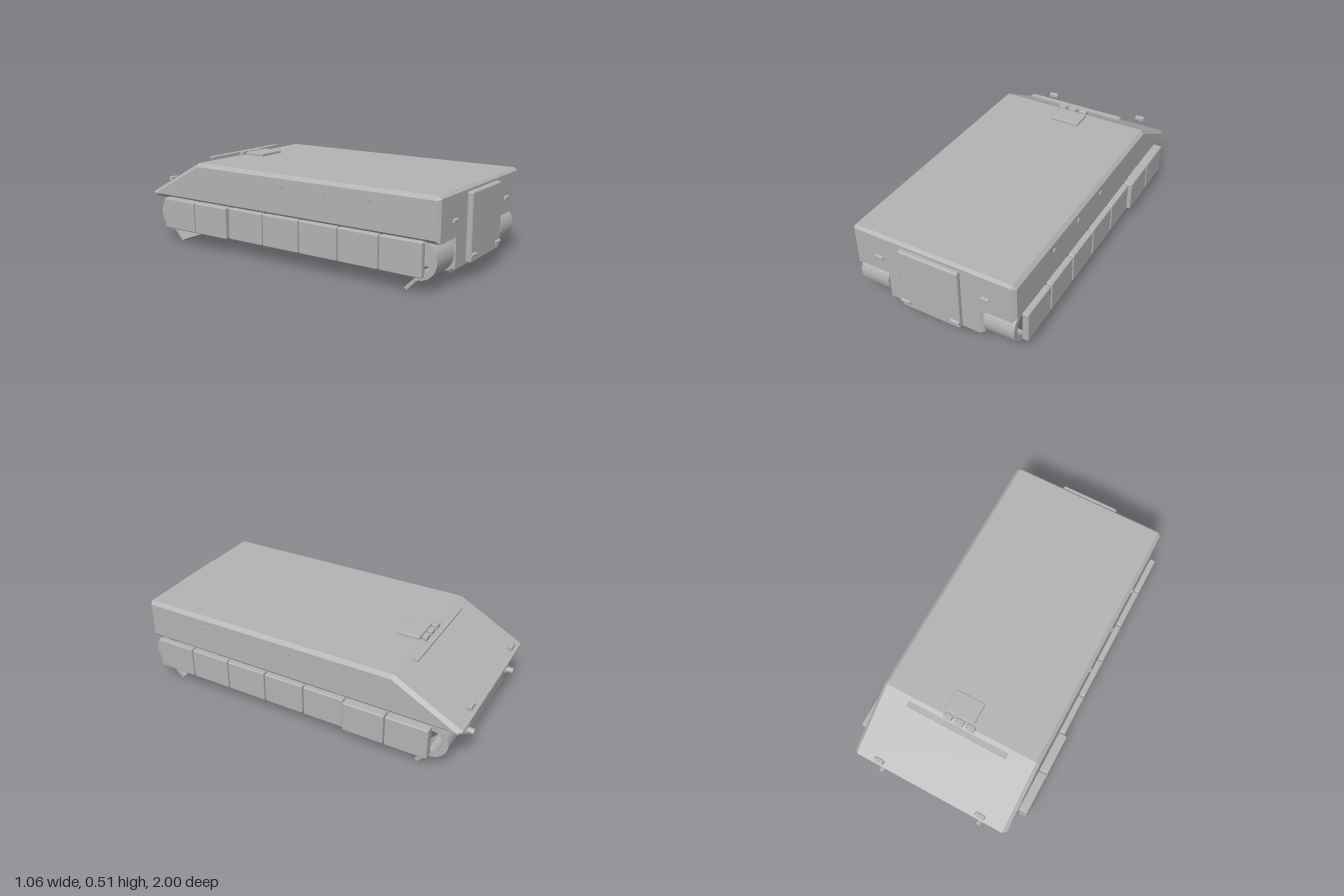
import * as THREE from 'three';
import { RoundedBoxGeometry } from 'three/addons/geometries/RoundedBoxGeometry.js';

export function createModel() {
  const model = new THREE.Group();
  model.name = 'armouredCarrier';
  const grey = new THREE.MeshStandardMaterial({ color: 0xb3b3b3 });
  grey.name = 'plain grey';

  function add(name, geometry, x = 0, y = 0, z = 0) {
    const mesh = new THREE.Mesh(geometry, grey);
    mesh.name = name;
    mesh.position.set(x, y, z);
    model.add(mesh);
    return mesh;
  }

  // Box given by its limits on each axis, with softened edges
  function block(name, [x0, x1], [y0, y1], [z0, z1], r = 0.006) {
    return add(name, new RoundedBoxGeometry(x1 - x0, y1 - y0, z1 - z0, 2, r),
      (x0 + x1) / 2, (y0 + y1) / 2, (z0 + z1) / 2);
  }

  // Side outline in (z, y), extruded across x and centred, with chamfered edges
  function acrossX(shape, width, bevel, curveSegments = 12) {
    const geometry = new THREE.ExtrudeGeometry(shape, {
      depth: width - 2 * bevel, bevelEnabled: bevel > 0, bevelThickness: bevel,
      bevelSize: bevel, bevelOffset: -bevel, bevelSegments: 1, curveSegments,
    });
    geometry.translate(0, 0, -(width / 2 - bevel));
    return geometry.rotateY(-Math.PI / 2);
  }
  const outline = (points) => new THREE.Shape(points.map(([z, y]) => new THREE.Vector2(z, y)));

  // Hull: upper box with sloped nose, narrower lower tub
  add('upperHull', acrossX(outline([
    [0.96, 0.255], [0.96, 0.475], [0.945, 0.49], [-0.6, 0.49], [-0.985, 0.28], [-0.985, 0.265], [-0.97, 0.255],
  ]), 0.96, 0.02));
  add('lowerHull', acrossX(outline([
    [0.93, 0.062], [0.952, 0.085], [0.952, 0.275], [-0.965, 0.275], [-0.955, 0.12], [-0.87, 0.062],
  ]), 0.58, 0.015));

  // Large rear door
  block('rearDoor', [-0.178, 0.176], [0.095, 0.465], [0.955, 0.99], 0.012);

  // Roof hatch, vision blocks and trim bar
  block('roofHatch', [-0.072, 0.106], [0.485, 0.507], [-0.58, -0.45]);
  for (let i = 0; i < 3; i++) {
    const x = -0.091 + i * 0.069;
    block('visionBlock', [x, x + 0.05], [0.485, 0.513], [-0.62, -0.588]);
  }
  add('roofBar', new THREE.BoxGeometry(0.61, 0.01, 0.032), -0.002, 0.497, -0.645);

  for (const side of [-1, 1]) {
    const span = (a, b) => (side > 0 ? [a, b] : [-b, -a]);

    // Seven skirt panels, the last two thicker
    for (let i = 0; i < 7; i++) {
      const z = 0.89 - i * 0.2467;
      block('skirtPanel', span(0.475, i > 4 ? 0.53 : 0.512), [0.087, 0.268], [z - 0.24, z], 0.008);
    }

    // Open curved track guards at both ends, each with a mud flap
    for (const [end, centre] of [[1, 0.845], [-1, -0.815]]) {
      const ring = new THREE.Shape();
      ring.absarc(0, 0, 0.105, -Math.PI / 2, Math.PI / 2, false);
      ring.absarc(0, 0, 0.07, Math.PI / 2, -Math.PI / 2, true);
      const guard = add('trackGuard', acrossX(ring, 0.176, 0, 10), side * 0.378, 0.165, centre);
      if (end < 0) guard.rotation.y = Math.PI;
      const flap = add('mudFlap', new THREE.BoxGeometry(0.176, 0.018, 0.085),
        side * 0.378, 0.036, centre - end * 0.036);
      flap.rotation.x = -end * 0.8;
    }

    // Round ports along the side
    for (const z of [0.565, 0.293, 0.018]) {
      add('sidePort', new THREE.CylinderGeometry(0.013, 0.013, 0.02, 20).rotateZ(Math.PI / 2),
        side * 0.476, 0.425, z);
    }

    // Rear lamps and door hinges
    block('rearLamp', span(0.29, 0.339), [0.332, 0.355], [0.95, 0.972]);
    add('doorHinge', new THREE.CylinderGeometry(0.01, 0.01, 0.054, 16).rotateZ(Math.PI / 2),
      side * 0.15, 0.137, 0.99);

    // Nose lamps and tow pins
    block('noseLamp', span(0.286, 0.345), [0.323, 0.351], [-0.98, -0.955]);
    add('towPin', new THREE.CylinderGeometry(0.017, 0.017, 0.08, 20).rotateX(Math.PI / 2),
      side * 0.313, 0.18, -0.96);
    add('towCollar', new THREE.CylinderGeometry(0.026, 0.026, 0.03, 20).rotateX(Math.PI / 2),
      side * 0.313, 0.18, -0.95);
  }
  return model;
}
